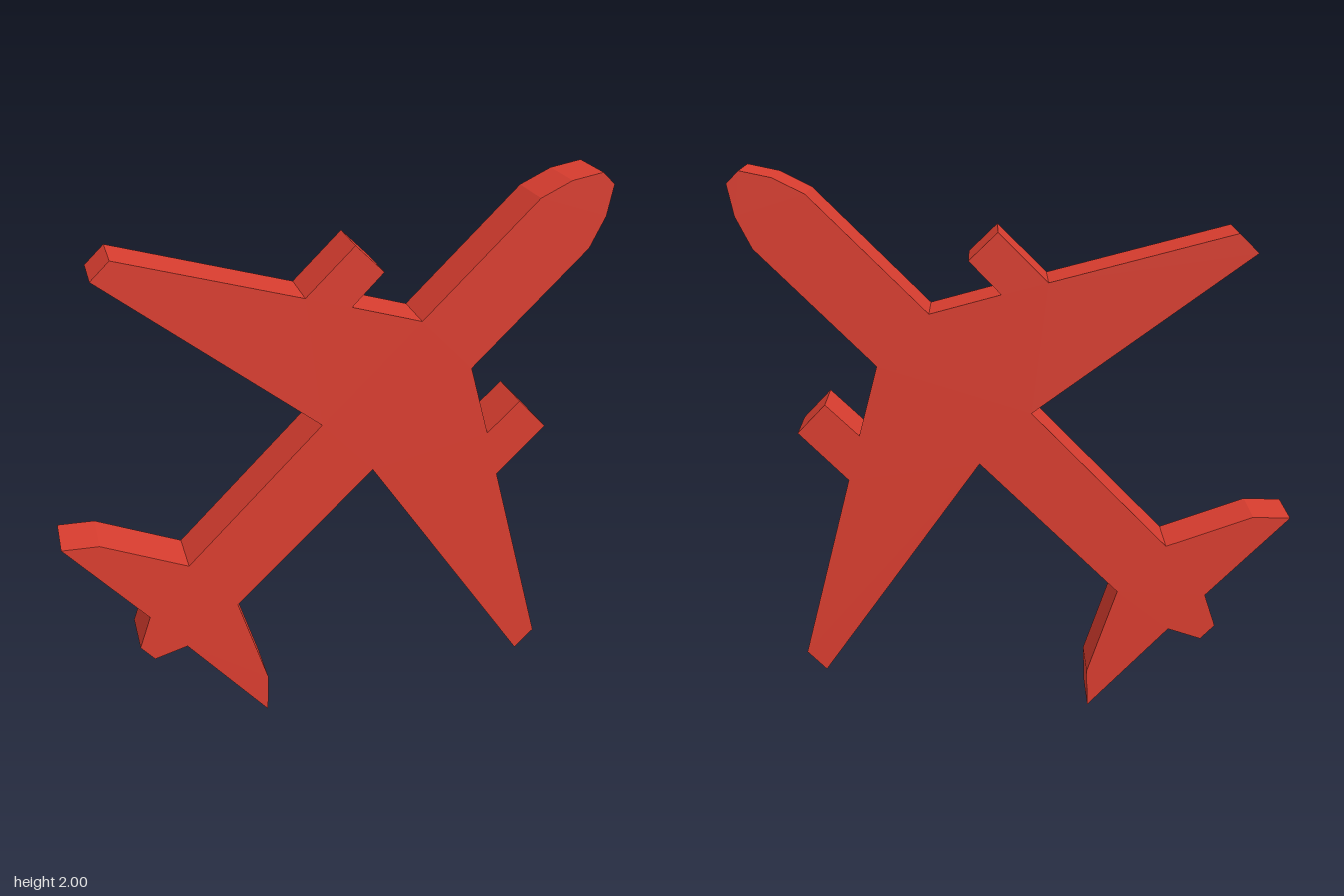
import * as THREE from 'three';

// Flat plane silhouette, symmetric about the line y = x + 1, cut from a thick slab.
export function createModel() {
  const red = new THREE.MeshStandardMaterial({ color: 0xd93d2f });
  red.name = 'red';

  // One half of the outline, from nose to tail
  const half = [
    [1, 1.956], [0.976, 1.843], [0.919, 1.73],                 // nose
    [0.498, 1.31],                                             // wing root, front
    [0.566, 1.055], [0.686, 1.17], [0.786, 1.066], [0.608, 0.889], // engine
    [0.78, 0.222], [0.71, 0.152],                              // wing tip
    [0.135, 0.948],                                            // wing root, rear
    [-0.371, 0.453], [-0.261, 0.136], [-0.265, 0],             // tailplane
    [-0.563, 0.304], [-0.684, 0.264],                          // tail cone
  ];
  const mirrored = half.map(([x, y]) => [y - 1, x + 1]).reverse();
  const outline = [...half, ...mirrored].map(([x, y]) => new THREE.Vector2(x, y));

  // Extrude to an even thickness with sharp edges, centred on z = 0
  const depth = 0.23;
  const geometry = new THREE.ExtrudeGeometry(new THREE.Shape(outline), {
    depth, bevelEnabled: false, steps: 1,
  });
  geometry.translate(0, 0, -depth / 2);

  const airplane = new THREE.Mesh(geometry, red);
  airplane.name = 'airplaneBody';

  const group = new THREE.Group();
  group.name = 'airplane';
  group.add(airplane);
  return group;
}
